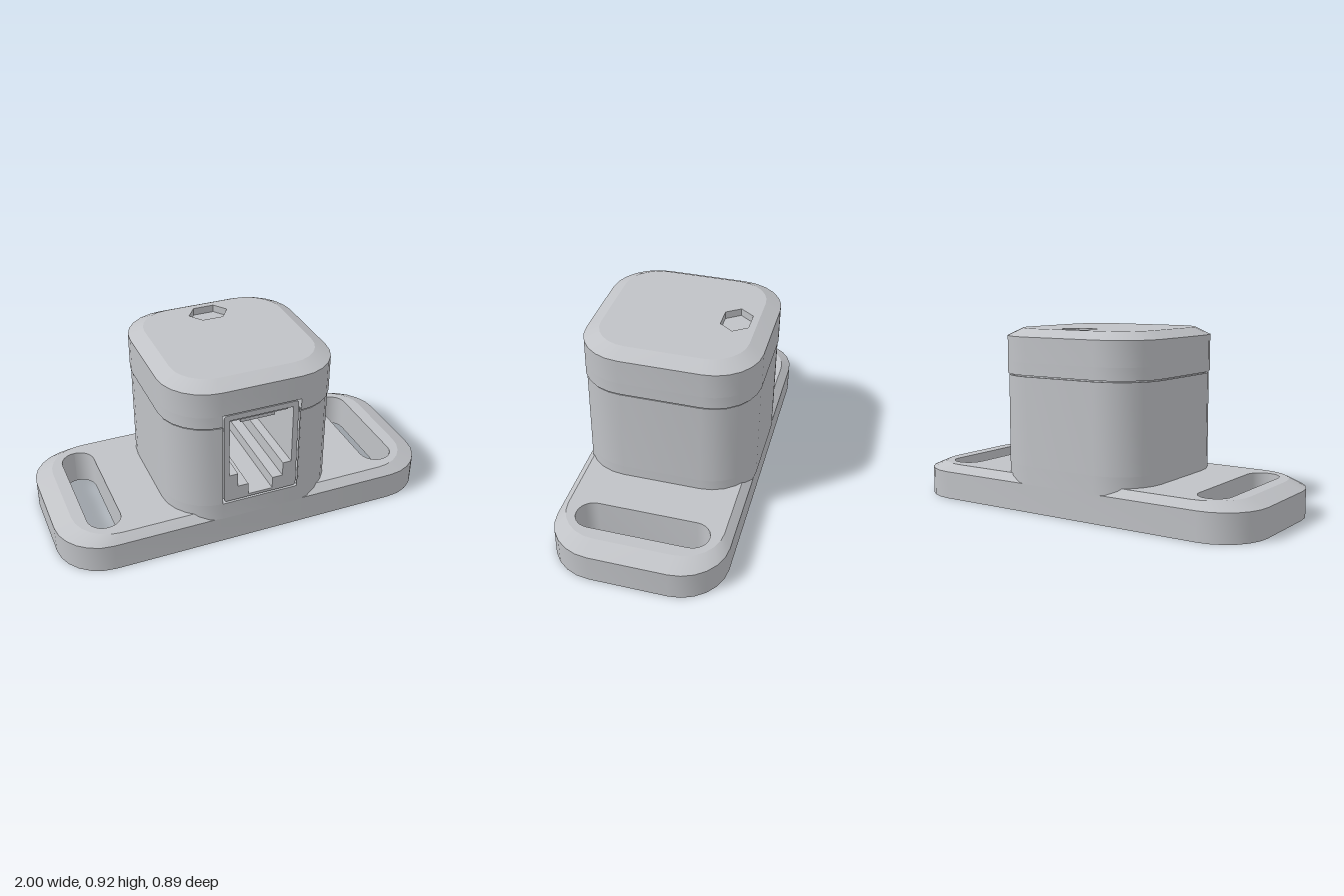
import * as THREE from 'three';
import { toCreasedNormals } from 'three/addons/utils/BufferGeometryUtils.js';

// Rounded rectangle outline, counter-clockwise; plan shapes use y = -z
function roundRect(w, d, r, cx = 0, cy = 0, seg = 6) {
  const pts = [];
  [[1, 1], [-1, 1], [-1, -1], [1, -1]].forEach(([sx, sy], k) => {
    for (let i = 0; i <= seg; i++) {
      const a = (k + i / seg) * Math.PI / 2;
      pts.push(new THREE.Vector2(cx + sx * (w / 2 - r) + r * Math.cos(a), cy + sy * (d / 2 - r) + r * Math.sin(a)));
    }
  });
  return pts;
}

// Rounded rectangle with a rectangular notch cut in from the front edge
function notched(w, d, r, half, backZ) {
  const pts = roundRect(w, d, r);
  pts.splice(21, 0, ...[[-half, -d / 2], [-half, -backZ], [half, -backZ], [half, -d / 2]].map(p => new THREE.Vector2(...p)));
  return pts;
}

function makeShape(pts, holes = []) {
  const s = new THREE.Shape(pts);
  s.holes = holes.map(h => new THREE.Path(h));
  return s;
}

// Horizontal slab between two heights
function slab(pts, y0, y1, holes) {
  const g = new THREE.ExtrudeGeometry(makeShape(pts, holes), { depth: y1 - y0, bevelEnabled: false });
  return toCreasedNormals(g.rotateX(-Math.PI / 2).translate(0, y0, 0), 0.4);
}

// Flat face at one height, facing up or down
function face(pts, y, holes, up = true) {
  return new THREE.ShapeGeometry(makeShape(pts, holes)).rotateX(up ? -Math.PI / 2 : Math.PI / 2).translate(0, y, 0);
}

// Strip joining two outlines at different heights
function strip(a, ya, b, yb) {
  const pos = [];
  const put = (p, y) => pos.push(p.x, y, -p.y);
  a.forEach((p, i) => {
    const j = (i + 1) % a.length;
    put(p, ya); put(a[j], ya); put(b[j], yb);
    put(p, ya); put(b[j], yb); put(b[i], yb);
  });
  const g = new THREE.BufferGeometry();
  g.setAttribute('position', new THREE.Float32BufferAttribute(pos, 3));
  g.computeVertexNormals();
  return toCreasedNormals(g, 0.4);
}

export function createModel() {
  const model = new THREE.Group();
  model.name = 'mountedSocket';
  const grey = new THREE.MeshStandardMaterial({ color: 0xc0c2c6 });
  grey.name = 'light grey';

  const add = (name, geometry, parent = model) => {
    const m = new THREE.Mesh(geometry, grey);
    m.name = name;
    parent.add(m);
    return m;
  };
  const group = name => {
    const g = new THREE.Group();
    g.name = name;
    model.add(g);
    return g;
  };
  const box = (name, parent, x0, x1, y0, y1, z0, z1) =>
    add(name, new THREE.BoxGeometry(x1 - x0, y1 - y0, z1 - z0).translate((x0 + x1) / 2, (y0 + y1) / 2, (z0 + z1) / 2), parent);

  // Mounting base: hollow rim, chamfer, top with two strap slots
  const base = group('mountingBase');
  const rim = roundRect(2, 0.87, 0.24);
  const inner = roundRect(1.92, 0.79, 0.2);
  const top = roundRect(1.82, 0.79, 0.2);
  const slots = [-1, 1].map(s => roundRect(0.17, 0.67, 0.084, s * 0.76));
  add('baseRim', slab(rim, 0, 0.145, [inner]), base);
  add('baseChamfer', strip(rim, 0.145, top, 0.183), base);
  add('baseTop', face(top, 0.183, slots), base);
  add('baseUnderside', face(inner, 0.14, slots, false), base);
  slots.forEach((slot, i) => {
    const collar = roundRect(0.23, 0.73, 0.114, (i * 2 - 1) * 0.76);
    add('slotCollar', slab(collar, 0, 0.182, [slot]), base);
    // Short webs from the collar to the end of the rim
    const s = i * 2 - 1;
    box('endRib', base, Math.min(s * 0.87, s * 0.97), Math.max(s * 0.87, s * 0.97), 0.015, 0.142, -0.012, 0.012);
  });

  // Underside ribs
  box('lengthRib', base, -0.65, 0.65, 0.015, 0.142, -0.014, 0.014);
  box('crossRib', base, -0.014, 0.014, 0.015, 0.142, -0.4, 0.4);
  for (const x of [-0.28, 0.28]) {
    box('bossRib', base, x - 0.012, x + 0.012, 0.03, 0.142, -0.22, 0.22);
    for (const z of [-0.3, 0.3]) {
      // Hollow screw boss
      const circle = r => new THREE.Path().absarc(x, -z, r, 0, Math.PI * 2).getPoints(10).slice(0, -1);
      add('screwBoss', slab(circle(0.105), -0.0 + 0.002, 0.142, [circle(0.078)]), base);
    }
  }

  // Housing with a front opening for the socket
  const housing = group('housing');
  const half = 0.205, back = -0.2;
  add('housingFoot', slab(roundRect(0.88, 0.88, 0.24), 0.145, 0.238), housing);
  add('housingBody', slab(notched(0.88, 0.88, 0.24, half, back), 0.238, 0.688), housing);
  add('seam', slab(notched(0.86, 0.86, 0.23, half, back), 0.68, 0.7), housing);

  // Cap with chamfered top and a six-sided hole
  const cap = group('cap');
  const capOutline = roundRect(0.888, 0.888, 0.24);
  const capTop = roundRect(0.74, 0.74, 0.18, 0, 0, 6);
  const hex = [[-0.105, 0.265], [-0.055, 0.195], [0.055, 0.195], [0.105, 0.265], [0.055, 0.335], [-0.055, 0.335]]
    .map(p => new THREE.Vector2(...p));
  add('capSkirt', slab(notched(0.888, 0.888, 0.24, half, back), 0.695, 0.758), cap);
  add('capBody', slab(capOutline, 0.758, 0.885), cap);
  add('capChamfer', strip(capOutline, 0.885, capTop, 0.923), cap);
  add('capTop', face(capTop, 0.923, [hex]), cap);
  add('hexHoleWall', strip([...hex].reverse(), 0.885, [...hex].reverse(), 0.923), cap);

  // Socket: stepped opening, closed at the back
  const socket = group('socket');
  const opening = [[-0.165, 0.72], [-0.165, 0.4], [-0.12, 0.4], [-0.12, 0.325], [-0.065, 0.325], [-0.065, 0.262],
    [0.065, 0.262], [0.065, 0.325], [0.12, 0.325], [0.12, 0.4], [0.165, 0.4], [0.165, 0.72]].map(p => new THREE.Vector2(...p));
  const shell = new THREE.ExtrudeGeometry(makeShape(roundRect(0.386, 0.502, 0.015, 0, 0.498, 3), [opening]),
    { depth: 0.637, bevelEnabled: false });
  add('socketShell', toCreasedNormals(shell.translate(0, 0, -0.199), 0.4), socket);
  box('socketBack', socket, -0.18, 0.18, 0.25, 0.73, -0.199, -0.18);

  // Contact carrier and four sloping spring contacts
  box('contactCarrier', socket, -0.09, 0.09, 0.665, 0.722, -0.18, 0.39);
  box('topLip', socket, -0.15, 0.15, 0.695, 0.722, 0.36, 0.41);
  for (let i = 0; i < 4; i++) {
    const x = (i - 1.5) * 0.045;
    const contact = add('contact', new THREE.BoxGeometry(0.022, 0.02, 0.4), socket);
    contact.position.set(x, 0.57, 0.12);
    contact.rotation.x = -0.5;
  }
  return model;
}
